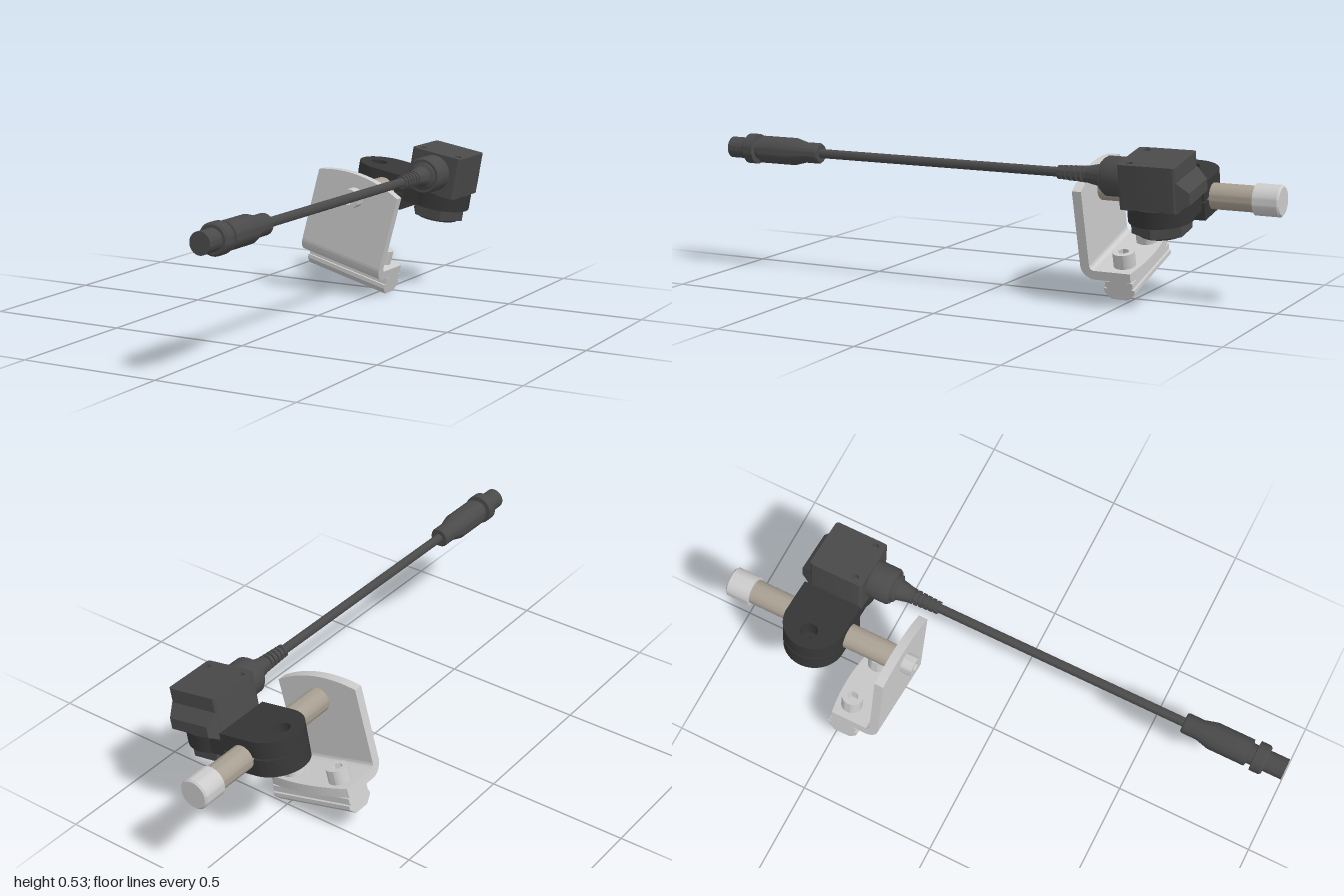
import * as THREE from 'three';
import { toCreasedNormals } from 'three/addons/utils/BufferGeometryUtils.js';

const metal = new THREE.MeshStandardMaterial({ color: 0xcccccc });
const steel = new THREE.MeshStandardMaterial({ color: 0xa89f92 });
const dark = new THREE.MeshStandardMaterial({ color: 0x4a4a4a });
const black = new THREE.MeshStandardMaterial({ color: 0x363636 });

function add(parent, name, geometry, material, x = 0, y = 0, z = 0) {
  const mesh = new THREE.Mesh(toCreasedNormals(geometry, 0.6), material);
  mesh.name = name;
  mesh.position.set(x, y, z);
  parent.add(mesh);
  return mesh;
}

const extrude = (shape, depth) =>
  new THREE.ExtrudeGeometry(shape, { depth, bevelEnabled: false, curveSegments: 24 });
// shape drawn as (x, back), extruded upwards
const extrudeUp = (shape, depth) => extrude(shape, depth).rotateX(-Math.PI / 2);
// shape drawn as (back, y), extruded along x
const extrudeSide = (shape, depth) => extrude(shape, depth).rotateY(Math.PI / 2);
const polygon = pts => new THREE.Shape(pts.map(p => new THREE.Vector2(...p)));
const turned = pts => new THREE.LatheGeometry(pts.map(p => new THREE.Vector2(...p)), 40);
const ngon = (r, n, turn = 0) => Array.from({ length: n }, (_, i) => {
  const a = i / n * Math.PI * 2 + turn;
  return [r * Math.cos(a), r * Math.sin(a)];
});
const circleHole = (x, y, r) => new THREE.Path().absarc(x, y, r, 0, Math.PI * 2, true);

// Plate with straight sides and one gently curved end
function curvedPlate(half, y0, yEdge, yApex) {
  const sag = yApex - yEdge;
  const R = (half * half + sag * sag) / (2 * sag);
  const a = Math.asin(half / R);
  const s = new THREE.Shape();
  s.moveTo(-half, y0);
  s.lineTo(half, y0);
  s.absarc(0, yApex - R, R, Math.PI / 2 - a, Math.PI / 2 + a, false);
  s.closePath();
  return s;
}

// Cap screw with hexagon socket, standing on y = 0
function capScrew(name, r, h, socket) {
  const g = new THREE.Group();
  g.name = name;
  const head = new THREE.Shape().absarc(0, 0, r, 0, Math.PI * 2, false);
  head.holes.push(polygon(ngon(socket, 6, Math.PI / 6)));
  add(g, 'screwHead', extrudeUp(head, h), metal);
  add(g, 'socketFloor', new THREE.CylinderGeometry(r * 0.9, r * 0.9, h * 0.4, 24), metal, 0, h * 0.2, 0);
  return g;
}

function mountingBracket() {
  const g = new THREE.Group();
  g.name = 'mountingBracket';
  const half = 0.165, t = 0.033;
  add(g, 'uprightPlate', extrude(curvedPlate(half, -0.219, 0.052, 0.083), t), metal, 0, 0, -0.358);
  add(g, 'footPlate', extrudeUp(curvedPlate(half, 0.375, 0.505, 0.523), t), metal, 0, -0.269, 0);

  // Rounded bend between plate and foot
  const bend = new THREE.Shape();
  bend.absarc(0.375, -0.219, 0.05, Math.PI, Math.PI * 1.5, false);
  bend.absarc(0.375, -0.219, 0.017, Math.PI * 1.5, Math.PI, true);
  add(g, 'plateBend', extrudeSide(bend, half * 2), metal, -half);

  // Slot nut under the foot
  const side = [[0.03, -0.335], [0.055, -0.311], [0.055, -0.297], [0.046, -0.297], [0.046, -0.292], [0.05, -0.292], [0.05, -0.272], [0.03, -0.269]];
  const profile = [...side.map(([w, v]) => [0.46 + w, v]), ...side.reverse().map(([w, v]) => [0.46 - w, v])];
  add(g, 'slotNut', extrudeSide(polygon(profile), half * 2), metal, -half);

  for (const u of [-0.1, 0.1]) {
    const screw = capScrew('footScrew', 0.038, 0.053, 0.02);
    screw.position.set(u, -0.238, -0.46);
    g.add(screw);
  }
  const screw = capScrew('rodScrew', 0.036, 0.043, 0.022);
  screw.rotation.x = Math.PI / 2;
  screw.position.z = -0.325;
  g.add(screw);
  return g;
}

function sensorHead() {
  const g = new THREE.Group();
  g.name = 'sensorHead';

  // Housing with rounded upright edges and two small holes in the top
  const w = 0.098, d = 0.1, r = 0.012;
  const box = new THREE.Shape();
  box.absarc(w - r, d - r, r, 0, Math.PI / 2, false);
  box.absarc(-w + r, d - r, r, Math.PI / 2, Math.PI, false);
  box.absarc(-w + r, -d + r, r, Math.PI, Math.PI * 1.5, false);
  box.absarc(w - r, -d + r, r, Math.PI * 1.5, Math.PI * 2, false);
  add(g, 'housingBody', extrudeUp(box, 0.132), dark, 0, -0.078, 0.005);
  for (const s of [-1, 1]) box.holes.push(circleHole(s * 0.072, -0.064, 0.012));
  add(g, 'housingTop', extrudeUp(box, 0.02), dark, 0, 0.054, 0.005);

  // Sloped bulge on the back, its outer face narrower than its root
  const bulge = extrudeSide(polygon([[0.09, -0.075], [0.133, -0.052], [0.133, -0.012], [0.09, 0.028]]), 0.19);
  bulge.translate(-0.095, 0, 0);
  const p = bulge.attributes.position;
  for (let i = 0; i < p.count; i++) if (p.getZ(i) < -0.12) p.setX(i, p.getX(i) * 0.82);
  bulge.computeVertexNormals();
  add(g, 'backBulge', bulge, dark);

  // Collar, nut and recessed window underneath
  add(g, 'collar', new THREE.CylinderGeometry(0.109, 0.109, 0.058, 48), black, 0, -0.104, 0);
  add(g, 'collarBridge', new THREE.BoxGeometry(0.13, 0.058, 0.2), black, -0.065, -0.104, 0);
  const nut = polygon(ngon(0.1, 6));
  nut.holes.push(circleHole(0, 0, 0.068));
  add(g, 'lockNut', extrudeUp(nut, 0.04), dark, 0, -0.173, 0);
  add(g, 'barrelRim', turned([[0.06, -0.16], [0.06, -0.182], [0.076, -0.182], [0.084, -0.172], [0.084, -0.13]]), dark);
  add(g, 'window', new THREE.CylinderGeometry(0.07, 0.07, 0.04, 40), black, 0, -0.15, 0);

  // Split clamp around the rod, with a stepped screw hole
  for (const [name, y, hole] of [['clampUpperHalf', -0.101, 0.03], ['clampLowerHalf', -0.168, 0.016]]) {
    const c = new THREE.Shape();
    c.moveTo(-0.105, -0.109);
    c.lineTo(-0.105, 0.109);
    c.absarc(-0.232, 0, 0.109, Math.PI / 2, Math.PI * 1.5, false);
    c.closePath();
    c.holes.push(circleHole(-0.273, 0, hole));
    add(g, name, extrudeUp(c, 0.06), black, 0, y, 0);
  }
  add(g, 'clampWeb', new THREE.BoxGeometry(0.12, 0.02, 0.2), black, -0.17, -0.104, 0);
  return g;
}

function cable() {
  const g = new THREE.Group();
  g.name = 'cable';
  const part = (name, pts) => add(g, name, turned(pts).rotateX(Math.PI / 2), dark);

  // Outlet, with a stepped front face
  part('cableOutlet', [[0.066, -0.56], [0.066, -0.472], [0.06, -0.462], [0.05, -0.462], [0.05, -0.452],
    [0.038, -0.446], [0.028, -0.4], [0, -0.4]]);
  // Ribbed strain relief
  const ribs = [[0.024, -0.42]];
  for (let i = 0; i < 6; i++) {
    const z = -0.4 + i * 0.019, r = 0.028 - i * 0.001;
    ribs.push([0.018, z], [r, z], [r, z + 0.012], [0.018, z + 0.012]);
  }
  part('strainRelief', ribs);
  part('cord', [[0.016, -0.41], [0.016, 0.64]]);
  // Plug with grip, coupling ring and tip
  part('plug', [[0, 0.63], [0.032, 0.63], [0.036, 0.636], [0.036, 0.69], [0.048, 0.735], [0.048, 0.868],
    [0.036, 0.872], [0.036, 0.888], [0.053, 0.89], [0.053, 0.925], [0.046, 0.932], [0.037, 0.932], [0.037, 1], [0, 1]]);
  return g;
}

export function createModel() {
  const model = new THREE.Group();
  model.name = 'sensorAssembly';

  const bracket = mountingBracket();
  bracket.position.set(-0.035, 0.368, 0);
  bracket.rotation.z = -Math.PI / 12;
  model.add(bracket);

  const head = sensorHead();
  head.position.set(0.169, 0.443, -0.65);
  head.rotation.z = -Math.PI / 18;
  model.add(head);

  const lead = cable();
  lead.position.set(0.169, 0.443, 0);
  model.add(lead);

  // Rod through the clamp, with an end cap
  const rod = turned([[0, -0.93], [0.044, -0.93], [0.044, -0.364], [0.04, -0.358], [0, -0.358]]);
  add(model, 'rod', rod.rotateX(Math.PI / 2), steel, -0.035, 0.368, 0);
  const cap = turned([[0, -1], [0.047, -1], [0.053, -0.994], [0.053, -0.91], [0, -0.91]]);
  add(model, 'rodEndCap', cap.rotateX(Math.PI / 2), metal, -0.035, 0.368, 0);
  return model;
}
